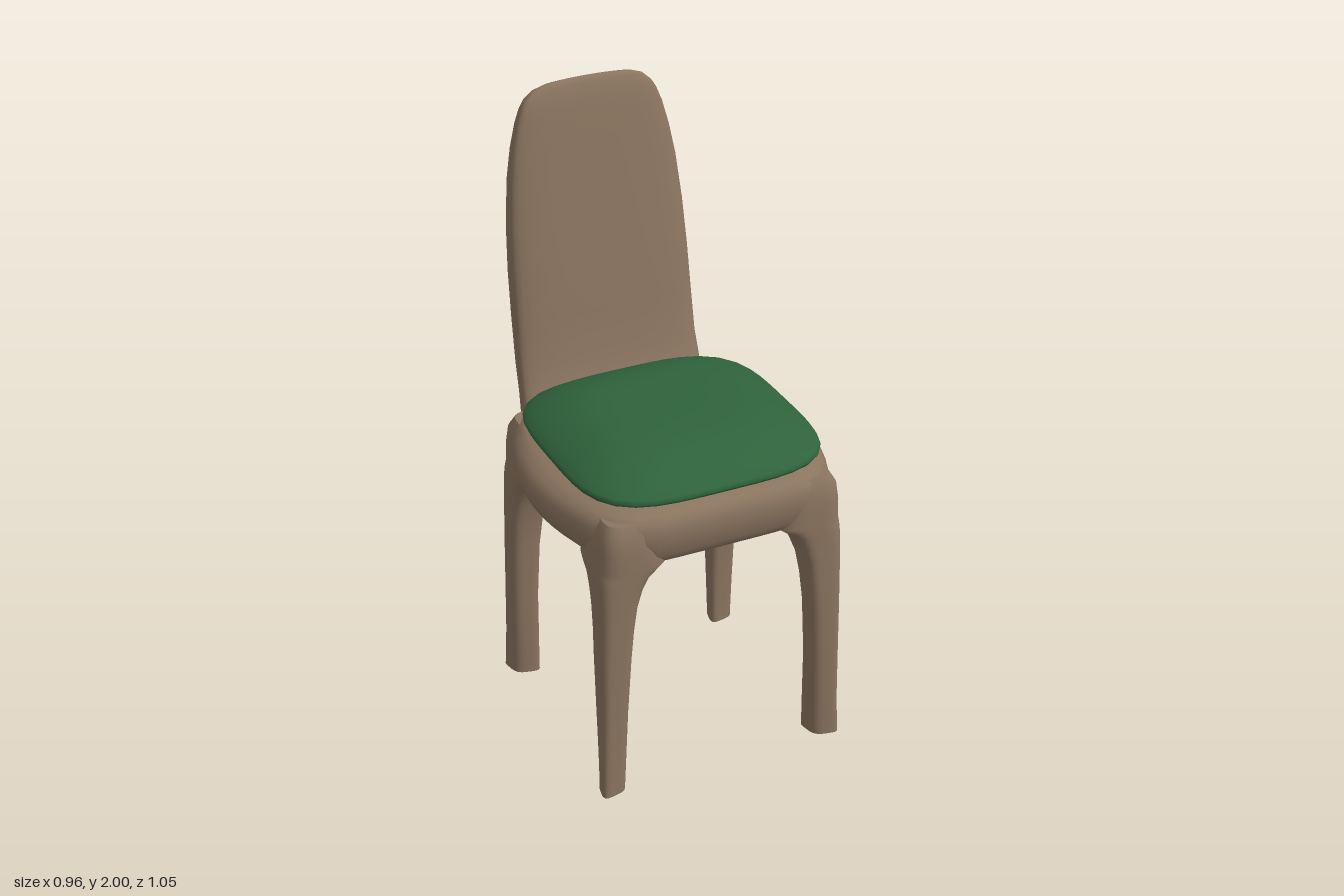
import * as THREE from 'three';

const wood = new THREE.MeshStandardMaterial({ color: 0x8b7560 });
const fabric = new THREE.MeshStandardMaterial({ color: 0x2f633c });
const SEG = 48;
const MID_Z = 0.105; // centre of the seat from front to back

// Rounded-square ring (superellipse) in the horizontal plane
function ring(cx, y, cz, rx, rz, n) {
  const pts = [];
  for (let j = 0; j < SEG; j++) {
    const t = (j / SEG) * Math.PI * 2;
    const c = Math.cos(t), s = Math.sin(t);
    const k = Math.pow(Math.abs(c) ** n + Math.abs(s) ** n, -1 / n);
    pts.push(new THREE.Vector3(cx + rx * c * k, y, cz + rz * s * k));
  }
  return pts;
}

// Skin a stack of rings (bottom to top) and close both ends
function loft(name, rings, material, flip = false) {
  const pos = [], idx = [];
  const tri = (a, b, c) => (flip ? idx.push(a, c, b) : idx.push(a, b, c));
  rings.forEach((r) => r.forEach((p) => pos.push(p.x, p.y, p.z)));
  for (let i = 0; i < rings.length - 1; i++) {
    for (let j = 0; j < SEG; j++) {
      const a = i * SEG + j, b = i * SEG + ((j + 1) % SEG);
      tri(a, a + SEG, b);
      tri(b, a + SEG, b + SEG);
    }
  }
  [rings[0], rings[rings.length - 1]].forEach((r, end) => {
    const base = pos.length / 3;
    const mid = r.reduce((m, p) => m.add(p), new THREE.Vector3()).divideScalar(SEG);
    [...r, mid].forEach((p) => pos.push(p.x, p.y, p.z));
    for (let j = 0; j < SEG; j++) {
      const a = base + j, b = base + ((j + 1) % SEG);
      if (end) tri(a, base + SEG, b);
      else tri(a, b, base + SEG);
    }
  });
  const geo = new THREE.BufferGeometry();
  geo.setAttribute('position', new THREE.Float32BufferAttribute(pos, 3));
  geo.setIndex(idx);
  geo.computeVertexNormals();
  const mesh = new THREE.Mesh(geo, material);
  mesh.name = name;
  return mesh;
}

// Seat: rounded slab whose left and right sides bulge outwards
function makeSeat() {
  const layers = [ // y, inset, bulge
    [0.8, 0.1, 0.1], [0.806, 0.06, 0.3], [0.82, 0.03, 0.6], [0.85, 0.012, 0.9],
    [0.9, 0.002, 1], [0.94, 0.003, 0.95], [0.97, 0.012, 0.75], [0.985, 0.03, 0.5],
    [0.995, 0.055, 0.3], [1.0, 0.1, 0.1],
  ];
  return loft('seat', layers.map(([y, inset, bulge]) => {
    const pts = ring(0, y, MID_Z, 0.405 - inset, 0.42 - inset, 6);
    pts.forEach((p) => {
      const f = Math.max(0, 1 - ((p.z - MID_Z) / 0.42) ** 2);
      p.x *= 1 + 0.185 * bulge * f * f;
    });
    return pts;
  }), wood);
}

// Leg: flares into the seat at the top, pinched along its diagonal at the foot
function makeLeg(name, sx, sz) {
  const layers = [ // y, outer x, outer z offset, width, pinch
    [0, 0.426, 0.421, 0.106, 0.66], [0.03, 0.424, 0.42, 0.104, 0.68],
    [0.15, 0.42, 0.416, 0.1, 0.78], [0.3, 0.418, 0.414, 0.098, 0.9],
    [0.5, 0.416, 0.413, 0.104, 1], [0.6, 0.415, 0.413, 0.113, 1],
    [0.68, 0.415, 0.413, 0.126, 1], [0.74, 0.415, 0.413, 0.147, 1],
    [0.78, 0.415, 0.413, 0.172, 1], [0.802, 0.415, 0.413, 0.205, 1],
    [0.82, 0.414, 0.413, 0.23, 1], [0.88, 0.41, 0.412, 0.2, 1],
    [0.94, 0.4, 0.408, 0.18, 1], [0.975, 0.38, 0.39, 0.15, 1],
  ];
  return loft(name, layers.map(([y, ox, oz, w, pinch]) => {
    const pts = ring(0, y, 0, w / 2, w / 2, 3.6);
    pts.forEach((p) => {
      const along = (p.x + p.z) / 2, across = ((p.x - p.z) / 2) * pinch;
      p.x = sx * (ox - w / 2 + along + across);
      p.z = MID_Z + sz * (oz - w / 2 + along - across);
    });
    return pts;
  }), wood, sx * sz < 0);
}

// Backrest: tall leaning panel, narrowing to a softly arched top
function makeBackrest() {
  const layers = [ // y, front z, back z, half width
    [0.8, -0.24, -0.325, 0.3], [0.815, -0.24, -0.35, 0.31], [0.85, -0.24, -0.365, 0.318],
    [0.93, -0.25, -0.378, 0.322], [1.0, -0.285, -0.393, 0.318], [1.1, -0.318, -0.43, 0.314],
    [1.25, -0.34, -0.466, 0.311], [1.4, -0.364, -0.492, 0.308], [1.55, -0.39, -0.51, 0.301],
    [1.7, -0.416, -0.522, 0.287], [1.8, -0.434, -0.525, 0.27], [1.88, -0.448, -0.525, 0.25],
    [1.93, -0.458, -0.523, 0.233], [1.96, -0.466, -0.519, 0.217], [1.985, -0.475, -0.511, 0.19],
    [1.997, -0.483, -0.502, 0.15], [2.0, -0.49, -0.494, 0.1],
  ];
  return loft('backrest', layers.map(([y, zf, zb, half]) => {
    const pts = ring(0, y, (zf + zb) / 2, half, (zf - zb) / 2, 4);
    // dip the top corners a little
    if (y > 1.9) pts.forEach((p) => { p.y -= 0.3 * (y - 1.9) * p.x * p.x / 0.05 * 0.5; });
    return pts;
  }), wood);
}

// Cushion: pillow with a thin seam edge and a domed top
function makeCushion() {
  const layers = [ // y, scale of outline
    [0.998, 0.72], [1.005, 0.86], [1.014, 0.95], [1.024, 0.99], [1.034, 1],
    [1.046, 0.985], [1.062, 0.93], [1.08, 0.86], [1.098, 0.77], [1.113, 0.67],
    [1.123, 0.56], [1.13, 0.42], [1.133, 0.25], [1.134, 0.08],
  ];
  return loft('cushion', layers.map(([y, s]) =>
    ring(0, y, 0.112, 0.413 * s, 0.403 * s, 2.4 + 1.5 * s)), fabric);
}

export function createModel() {
  const chair = new THREE.Group();
  chair.name = 'chair';
  chair.add(makeSeat(), makeBackrest(), makeCushion());
  for (const [side, sx] of [['Left', 1], ['Right', -1]]) {
    chair.add(makeLeg('front' + side + 'Leg', sx, 1));
    chair.add(makeLeg('back' + side + 'Leg', sx, -1));
  }
  return chair;
}
